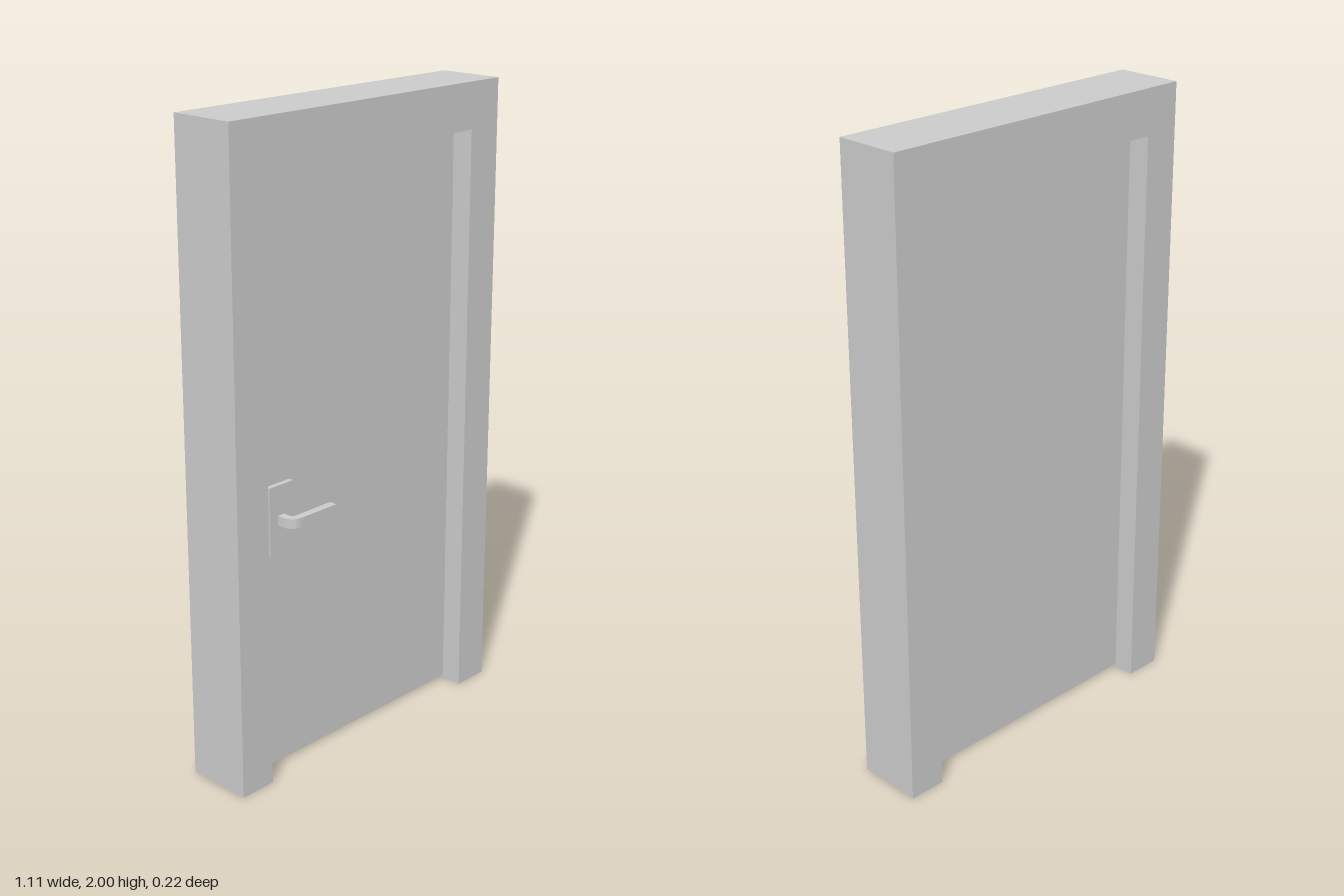
import * as THREE from 'three';

const material = new THREE.MeshStandardMaterial({ color: 0xcccccc, flatShading: true });

// Box given by its lower and upper corners
function box(name, [x0, y0, z0], [x1, y1, z1]) {
  const mesh = new THREE.Mesh(new THREE.BoxGeometry(x1 - x0, y1 - y0, z1 - z0), material);
  mesh.position.set((x0 + x1) / 2, (y0 + y1) / 2, (z0 + z1) / 2);
  mesh.name = name;
  return mesh;
}

function extrude(name, shape, depth) {
  const geometry = new THREE.ExtrudeGeometry(shape, { depth, bevelEnabled: false, curveSegments: 6 });
  const mesh = new THREE.Mesh(geometry, material);
  mesh.name = name;
  return mesh;
}

export function createModel() {
  const group = new THREE.Group();
  group.name = 'door';

  const outer = 0.553, inner = 0.433, lintel = 1.857;
  const back = -0.11, front = 0.104, doorBack = -0.04, doorFront = 0.034;

  // Frame: two jambs and a lintel in one piece
  const outline = new THREE.Shape([
    [-outer, 0], [-inner, 0], [-inner, lintel], [inner, lintel],
    [inner, 0], [outer, 0], [outer, 2], [-outer, 2],
  ].map(([x, y]) => new THREE.Vector2(x, y)));
  const frame = extrude('doorFrame', outline, front - back);
  frame.position.z = back;
  group.add(frame);

  // Leaf recessed in the frame, just clear of the floor
  group.add(box('doorLeaf', [-inner, 0.008, doorBack], [inner, lintel, doorFront]));

  // Handle on the front only: back plate and a lever bent out of it
  const handle = new THREE.Group();
  handle.name = 'handle';
  handle.add(box('handlePlate', [-0.376, 0.703, doorFront], [-0.28, 0.918, 0.05]));

  const bend = new THREE.Shape();
  bend.moveTo(-0.344, 0.045);
  bend.lineTo(-0.319, 0.045);
  bend.lineTo(-0.319, 0.068);
  bend.quadraticCurveTo(-0.319, 0.085, -0.302, 0.085);
  bend.lineTo(-0.161, 0.085);
  bend.lineTo(-0.161, 0.11);
  bend.lineTo(-0.302, 0.11);
  bend.quadraticCurveTo(-0.344, 0.11, -0.344, 0.068);
  bend.closePath();
  const lever = extrude('handleLever', bend, 0.03);
  lever.rotation.x = Math.PI / 2;
  lever.position.y = 0.824;
  handle.add(lever);
  group.add(handle);

  return group;
}
